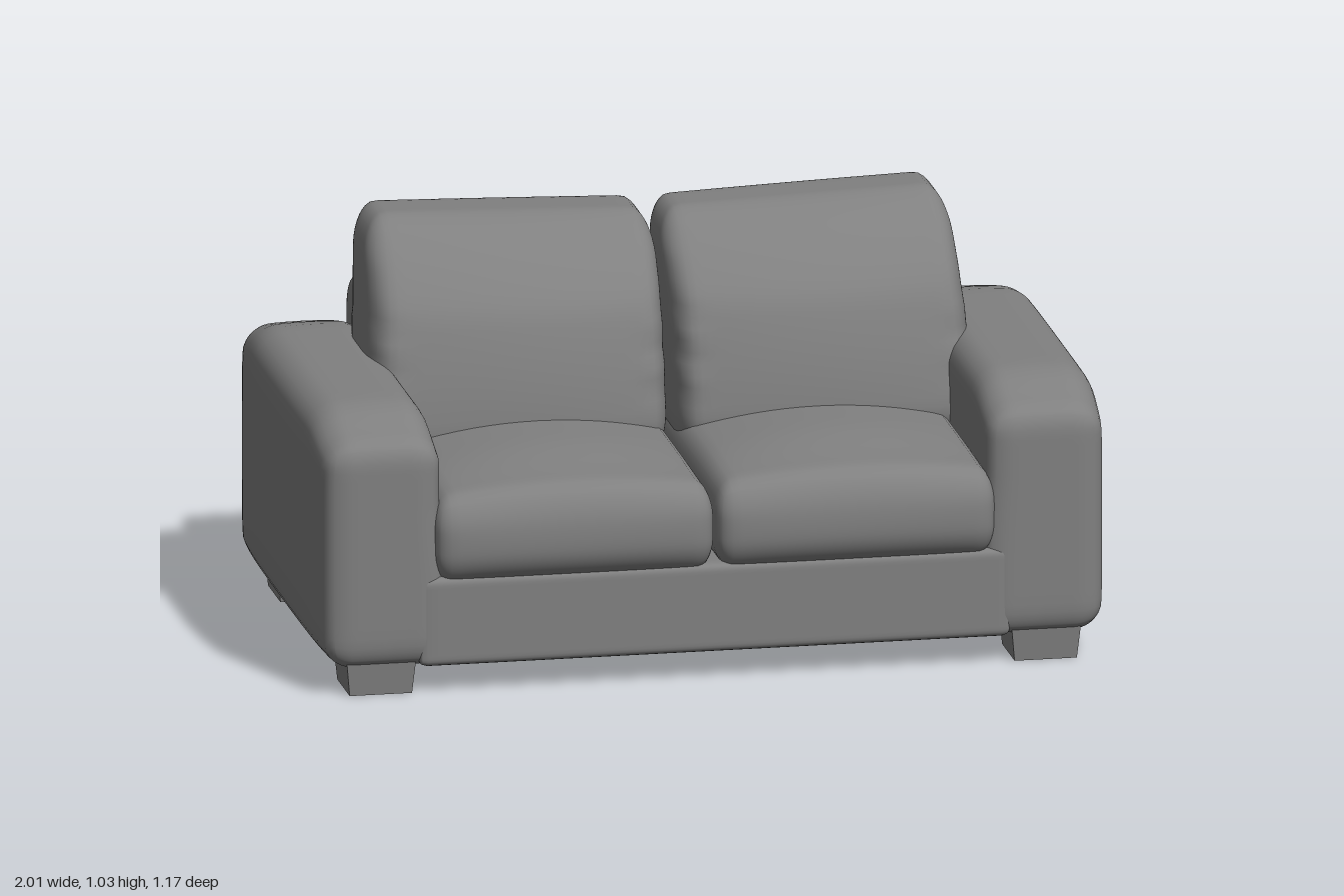
import * as THREE from 'three';
import { mergeVertices } from 'three/addons/utils/BufferGeometryUtils.js';

const clamp = THREE.MathUtils.clamp;
const smooth = THREE.MathUtils.smoothstep;

// Upholstered block: a box with elliptical edge radii, then bent by a rule.
// The rule receives the point and its position from -1 to 1 along each axis.
function softBox(size, radius, warp, n = 26) {
  let geo = new THREE.BoxGeometry(2, 2, 2, n, n, n);
  geo.deleteAttribute('uv');
  geo.deleteAttribute('normal');
  geo = mergeVertices(geo, 1e-4);
  const pos = geo.attributes.position;
  const p = new THREE.Vector3();
  const inner = new THREE.Vector3();
  const d = new THREE.Vector3();
  for (let i = 0; i < pos.count; i++) {
    p.fromBufferAttribute(pos, i);
    for (const [k, a] of ['x', 'y', 'z'].entries()) {
      const half = size[k] / 2;
      const r = Math.min(radius[k], half);
      const v = Math.sin(p[a] * Math.PI / 2) * half; // denser rows near the edges
      inner[a] = clamp(v, r - half, half - r);
      d[a] = (v - inner[a]) / r;
    }
    d.normalize();
    p.set(inner.x + d.x * radius[0], inner.y + d.y * radius[1], inner.z + d.z * radius[2]);
    if (warp) warp(p, 2 * p.x / size[0], 2 * p.y / size[1], 2 * p.z / size[2]);
    pos.setXYZ(i, p.x, p.y, p.z);
  }
  geo.computeVertexNormals();
  return geo;
}

export function createModel() {
  const sofa = new THREE.Group();
  sofa.name = 'sofa';
  const fabric = new THREE.MeshStandardMaterial({ color: 0x808080 });
  fabric.name = 'grey fabric';

  const add = (name, geo, x, y, z) => {
    const mesh = new THREE.Mesh(geo, fabric);
    mesh.name = name;
    mesh.position.set(x, y, z);
    sofa.add(mesh);
  };

  // Seat base between the arms
  add('seatBase', softBox([1.5, 0.23, 1.12], [0.02, 0.02, 0.025]), 0, 0.185, -0.01);

  // Backrest with a rounded top roll that falls away to the front
  add('backrest', softBox([1.46, 0.73, 0.23], [0.03, 0.09, 0.09], (p, u, v, w) => {
    p.y -= 0.06 * smooth(w, -0.2, 1) * smooth(v, 0, 1);
    if (v < -0.5) p.z += (w < 0 ? -1 : 1) * 0.01 * smooth(-v, 0.5, 1);
  }), 0.005, 0.437, -0.468);

  for (const s of [-1, 1]) {
    const side = s > 0 ? 'left' : 'right';

    // Arm: bulging outer face, top dropping toward both ends
    add(side + 'Arm', softBox([0.29, 0.63, 1.12], [0.07, 0.07, 0.045], (p, u, v, w) => {
      const end = w > 0 ? 0.055 * smooth(w, 0.6, 1) : 0.035 * smooth(-w, 0.65, 1);
      p.y -= end * smooth(v, 0, 1);
      const out = u * s;
      p.x += s * 0.022 * smooth(out, 0, 1) * (1 - w ** 4) * (1 - 0.7 * v ** 4);
      if (out < 0) p.x -= s * 0.012 * smooth(-v, -0.4, 0.4); // squarer inner foot
      p.y += 0.008 * smooth(v, 0.5, 1) * (1 - u * u);
    }), s * 0.838, 0.387, -0.01);

    // Seat cushion: crowned top and bulging front
    add(side + 'SeatCushion', softBox([0.712, 0.225, 0.98], [0.05, 0.085, 0.05], (p, u, v, w) => {
      p.y += 0.055 * smooth(v, 0, 1) * (1 - u * u) * (1 - 0.55 * smooth(w, 0.3, 1));
      p.z += 0.025 * smooth(w, 0.8, 1) * (1 - v * v) * (1 - 0.5 * u ** 4);
    }), s * 0.357, 0.39, 0.068);

    // Back cushion: leaning, plump in the middle, with soft folds at the outer side
    add(side + 'BackCushion', softBox([0.73, 0.59, 0.36], [0.055, 0.11, 0.12], (p, u, v, w) => {
      const out = u * s;
      p.z -= 0.085 * v + 0.03 * v * v;
      const middle = (1 - u * u) * (1 - 0.5 * v * v);
      p.z += Math.sign(w) * 0.035 * smooth(Math.abs(w), 0.3, 1) * middle;
      if (w > 0) p.z -= 0.07 * w * smooth(v, 0.25, 1);
      else p.z += 0.02 * -w * smooth(v, 0.6, 1);
      p.y += 0.012 * out * smooth(v, 0, 1);
      p.x += s * 0.025 * smooth(out, 0.3, 1) * (1 - v);
      const fold = smooth(Math.abs(u), 0.7, 1) * (1 - smooth(Math.abs(v + 0.1), 0.1, 0.6));
      p.z += 0.008 * fold * Math.sin(18 * v + 6 * u) * Math.sign(w);
    }, 32), s * 0.372, 0.722, -0.178);

    // Tapered feet
    for (const [end, z] of [['front', 0.44], ['back', -0.447]]) {
      const foot = new THREE.CylinderGeometry(0.0875 * Math.SQRT2, 0.079 * Math.SQRT2, 0.085, 4)
        .rotateY(Math.PI / 4).toNonIndexed();
      foot.computeVertexNormals();
      add(side + (end === 'front' ? 'Front' : 'Back') + 'Foot', foot, s * 0.843, 0.0425, z);
    }
  }
  return sofa;
}
